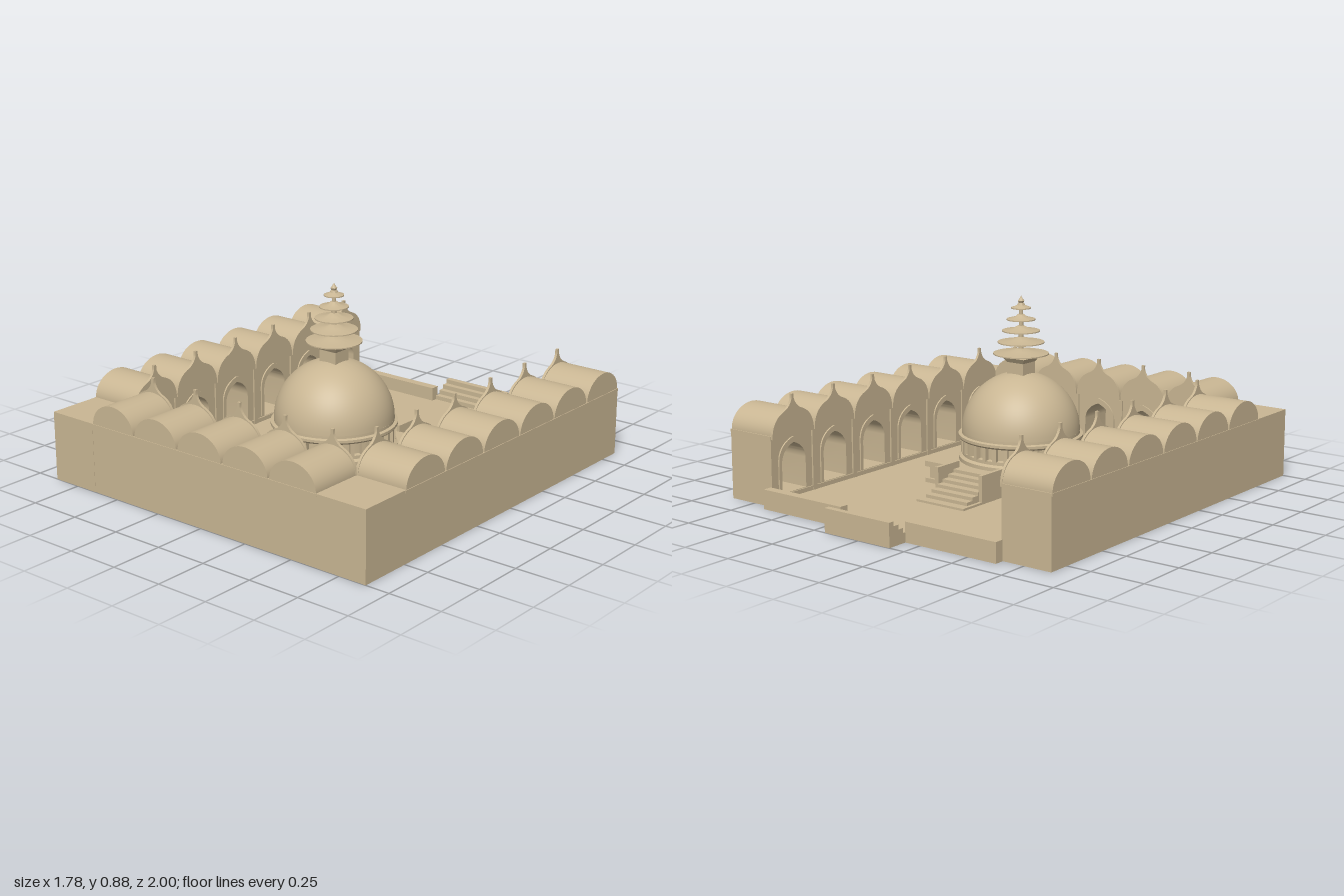
import * as THREE from 'three';
import { toCreasedNormals } from 'three/addons/utils/BufferGeometryUtils.js';

const stone = new THREE.MeshStandardMaterial({ color: 0xc9b693 });
stone.name = 'sandstone';

const FLOOR = 0.025, ROOF = 0.32, DECK = 0.125;

function add(parent, name, geometry, x = 0, y = 0, z = 0) {
  const mesh = new THREE.Mesh(geometry, stone);
  mesh.name = name;
  mesh.position.set(x, y, z);
  parent.add(mesh);
  return mesh;
}

// box given by its limits on each axis
function block(parent, name, x0, x1, y0, y1, z0, z1) {
  return add(parent, name, new THREE.BoxGeometry(x1 - x0, y1 - y0, z1 - z0),
    (x0 + x1) / 2, (y0 + y1) / 2, (z0 + z1) / 2);
}

function extrude(shape, depth) {
  return toCreasedNormals(
    new THREE.ExtrudeGeometry(shape, { depth, bevelEnabled: false, curveSegments: 14 }), 0.5);
}

function lathe(pairs, segments = 48) {
  const points = pairs.map(([r, y]) => new THREE.Vector2(r, y));
  return toCreasedNormals(new THREE.LatheGeometry(points, segments), 0.5);
}

// pointed arch outline, used for openings and their frames
function archPath(path, cx, halfWidth, bottom, spring, apex) {
  path.moveTo(cx - halfWidth, bottom);
  path.lineTo(cx + halfWidth, bottom);
  path.lineTo(cx + halfWidth, spring);
  path.quadraticCurveTo(cx + halfWidth, apex - 0.025, cx, apex);
  path.quadraticCurveTo(cx - halfWidth, apex - 0.025, cx - halfWidth, spring);
  path.closePath();
  return path;
}

function vaultShape(w) {
  const s = new THREE.Shape();
  s.moveTo(-w, ROOF - 0.005);
  s.lineTo(w, ROOF - 0.005);
  s.lineTo(w, ROOF);
  s.absellipse(0, ROOF, w, 0.105, 0, Math.PI, false);
  s.closePath();
  return s;
}

// ogee gable ending in a slim flat-topped tip
function gableShape(w) {
  const s = new THREE.Shape();
  s.moveTo(-w, 0.305);
  s.lineTo(w, 0.305);
  s.lineTo(w, ROOF);
  s.quadraticCurveTo(w * 0.95, 0.395, 0.055, 0.42);
  s.quadraticCurveTo(0.018, 0.435, 0.007, 0.472);
  s.lineTo(0.007, 0.492);
  s.lineTo(-0.007, 0.492);
  s.lineTo(-0.007, 0.472);
  s.quadraticCurveTo(-0.018, 0.435, -0.055, 0.42);
  s.quadraticCurveTo(-w * 0.95, 0.395, -w, ROOF);
  s.closePath();
  return s;
}

// row of vaulted niches; local +z faces the courtyard
function cloister(name, count, length, depth) {
  const g = new THREE.Group();
  g.name = name;
  const pitch = length / count, nicheDepth = 0.17, half = length / 2;
  const wall = new THREE.Shape();
  wall.moveTo(-half, 0);
  wall.lineTo(half, 0);
  wall.lineTo(half, ROOF);
  wall.lineTo(-half, ROOF);
  wall.closePath();
  const vault = extrude(vaultShape(pitch / 2 - 0.005), depth);
  const gable = extrude(gableShape(pitch / 2 - 0.003), 0.012);
  const frameShape = archPath(new THREE.Shape(), 0, 0.092, 0.05, 0.19, 0.298);
  frameShape.holes.push(archPath(new THREE.Path(), 0, 0.075, 0.0501, 0.18, 0.272));
  const frame = extrude(frameShape, 0.007);

  for (let i = 0; i < count; i++) {
    const x = -half + pitch * (i + 0.5);
    wall.holes.push(archPath(new THREE.Path(), x, 0.075, 0.05, 0.18, 0.272));
    add(g, 'vault', vault, x, 0, -depth);
    add(g, 'gable', gable, x, 0, -0.003);
    add(g, 'archFrame', frame, x, 0, 0);
  }
  // slender pilasters between the niches
  for (let i = 1; i < count; i++) {
    const x = -half + pitch * i;
    block(g, 'pilaster', x - 0.012, x + 0.012, FLOOR, 0.305, -0.002, 0.008);
  }
  add(g, 'arcadeWall', extrude(wall, nicheDepth), 0, 0, -nicheDepth);
  block(g, 'rearWall', -half, half, 0, ROOF, -depth, -nicheDepth);
  block(g, 'plinth', -half, half, FLOOR, 0.045, -0.002, 0.006);
  block(g, 'eave', -half, half, 0.308, ROOF, -depth - 0.003, -depth + 0.01);
  return g;
}

function stupa() {
  const g = new THREE.Group();
  g.name = 'stupa';

  // square platform with a projecting slab
  block(g, 'platformBase', -0.3, 0.32, FLOOR, 0.045, -0.185, 0.45);
  block(g, 'platformBody', -0.285, 0.305, 0.04, 0.105, -0.17, 0.435);
  block(g, 'platformSlab', -0.3, 0.32, 0.1, DECK, -0.185, 0.45);

  // stairs up from the courtyard, with side walls
  block(g, 'bottomStep', -0.125, 0.14, FLOOR - 0.01, 0.035, -0.46, -0.18);
  for (let i = 0; i < 6; i++)
    block(g, 'step', -0.109, 0.124, FLOOR, 0.05 + i * 0.015, -0.415 + i * 0.0385, -0.17);
  for (const x of [-0.125, 0.122])
    block(g, 'stairSideWall', x, x + 0.018, FLOOR, 0.155, -0.33, -0.18);

  const round = new THREE.Group();
  round.name = 'roundParts';
  round.position.set(0.008, 0, 0.13);
  g.add(round);

  // drum and dome
  add(round, 'drum', lathe([[0, 0.12], [0.285, 0.12], [0.285, 0.142], [0.27, 0.15], [0.27, 0.165],
    [0.25, 0.168], [0.25, 0.222], [0.28, 0.226], [0.287, 0.234], [0.287, 0.246],
    [0.272, 0.25], [0.272, 0.262], [0, 0.262]], 64));
  const dome = [];
  for (let i = 0; i <= 20; i++) {
    const a = (i / 20) * Math.PI / 2;
    dome.push([0.272 * Math.cos(a), 0.26 + 0.27 * Math.sin(a)]);
  }
  add(round, 'dome', lathe(dome, 64));
  const post = new THREE.BoxGeometry(0.018, 0.066, 0.024);
  for (let i = 0; i < 32; i++) {
    const a = (i / 32) * Math.PI * 2;
    add(round, 'drumPost', post, 0.264 * Math.sin(a), 0.195, 0.264 * Math.cos(a)).rotation.y = a;
  }

  // square neck flaring upward
  block(round, 'neck', -0.046, 0.046, 0.51, 0.585, -0.046, 0.046);
  const flare = new THREE.CylinderGeometry(0.06 * Math.SQRT2, 0.046 * Math.SQRT2, 0.022, 4);
  flare.rotateY(Math.PI / 4);
  add(round, 'neckFlare', flare.toNonIndexed(), 0, 0.588, 0).geometry.computeVertexNormals();

  // spire of five shrinking parasols
  add(round, 'mast', new THREE.CylinderGeometry(0.009, 0.012, 0.27, 12), 0, 0.725, 0);
  for (let i = 0; i < 5; i++) {
    const r = 0.127 - i * 0.0205;
    add(round, 'parasol', lathe([[0, 0.003], [r * 0.94, 0], [r, 0], [r, 0.005], [r * 0.72, 0.009],
      [r * 0.4, 0.016], [0.014, 0.026], [0, 0.027]]), 0, 0.613 + i * 0.0525, 0);
  }
  add(round, 'finial', lathe([[0, 0.845], [0.009, 0.846], [0.015, 0.858], [0.008, 0.868],
    [0.004, 0.874], [0, 0.882]], 16));
  return g;
}

export function createModel() {
  const model = new THREE.Group();
  model.name = 'templeCourtyard';

  block(model, 'courtyardFloor', -0.64, 0.64, 0, FLOOR, -0.9, 0.76);

  // cloisters on three sides, with flat-roofed corners
  for (const s of [1, -1]) {
    const wing = cloister(s > 0 ? 'leftCloister' : 'rightCloister', 6, 1.605, 0.247);
    wing.rotation.y = -s * Math.PI / 2;
    wing.position.set(s * 0.638, 0, -0.0525);
    model.add(wing);
    block(model, 'cornerBlock', Math.min(s * 0.638, s * 0.885), Math.max(s * 0.638, s * 0.885),
      0, ROOF, 0.75, 1);
  }
  const front = cloister('frontCloister', 5, 1.276, 0.249);
  front.rotation.y = Math.PI;
  front.position.z = 0.75;
  model.add(front);

  // low rear wall either side of the entrance
  block(model, 'rearWallRight', -0.645, -0.172, 0, 0.09, -0.9, -0.857);
  block(model, 'rearWallLeft', 0.188, 0.645, 0, 0.09, -0.9, -0.857);

  // entrance steps leading down into the courtyard
  for (let i = 0; i < 4; i++)
    block(model, 'entranceStep', -0.172, 0.188, 0, 0.045 + i * 0.021, -1, -0.885 - i * 0.029);

  model.add(stupa());
  return model;
}
